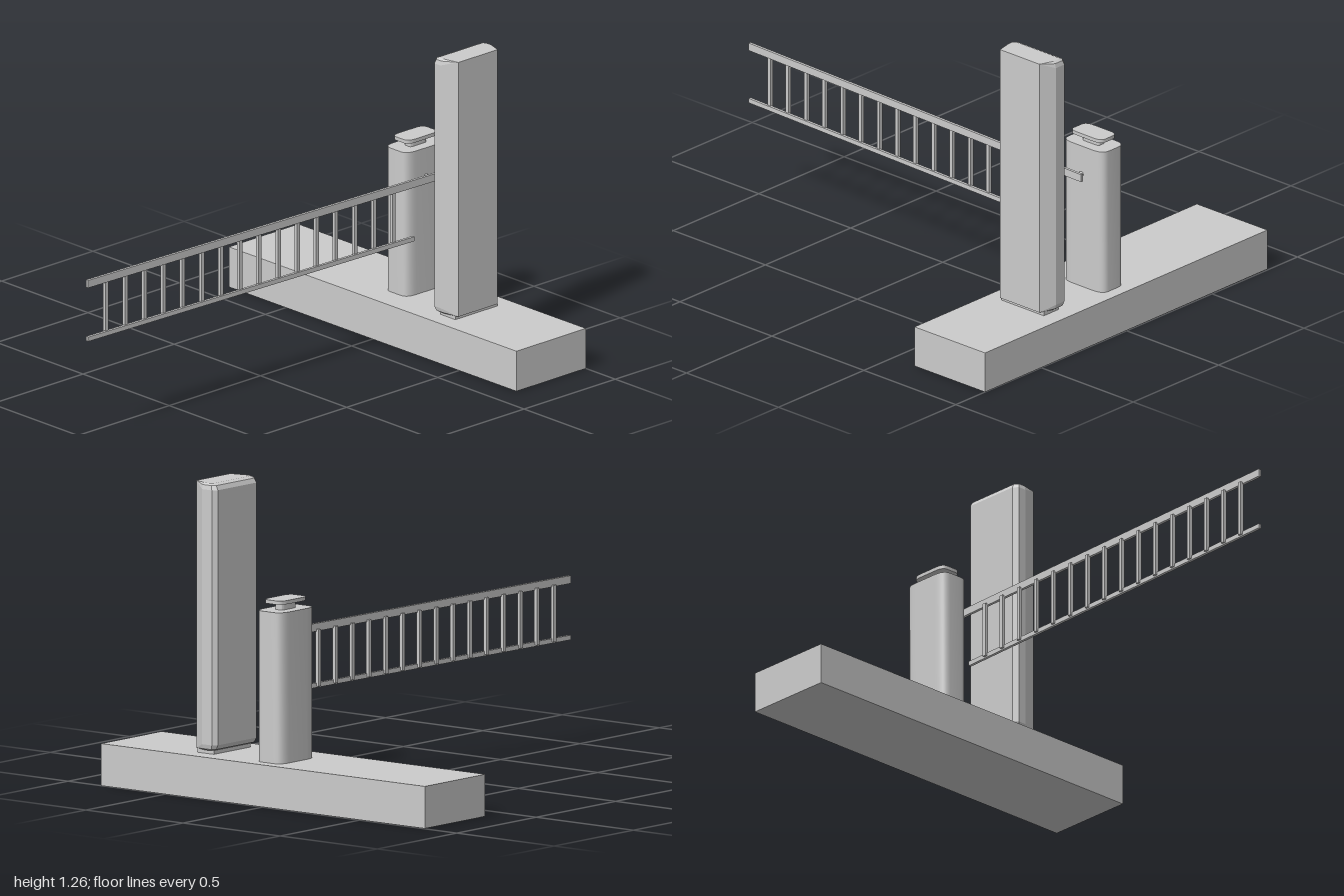
import * as THREE from 'three';
import { toCreasedNormals } from 'three/addons/utils/BufferGeometryUtils.js';
import { ConvexGeometry } from 'three/addons/geometries/ConvexGeometry.js';

const material = new THREE.MeshStandardMaterial({ color: 0xcccccc });

function add(parent, name, geometry, x = 0, y = 0, z = 0) {
  const mesh = new THREE.Mesh(geometry, material);
  mesh.name = name;
  mesh.position.set(x, y, z);
  parent.add(mesh);
  return mesh;
}

// Upright prism with a rounded plan; a, b are half sizes, fa, fb the half lengths of the flats
function ovalPrism(a, b, fa, fb, height) {
  const s = new THREE.Shape();
  s.moveTo(a, -fb);
  s.lineTo(a, fb);
  s.quadraticCurveTo(a, b, fa, b);
  s.lineTo(-fa, b);
  s.quadraticCurveTo(-a, b, -a, fb);
  s.lineTo(-a, -fb);
  s.quadraticCurveTo(-a, -b, -fa, -b);
  s.lineTo(fa, -b);
  s.quadraticCurveTo(a, -b, a, -fb);
  const g = new THREE.ExtrudeGeometry(s, { depth: height, bevelEnabled: false, curveSegments: 8 });
  g.rotateX(-Math.PI / 2);
  return toCreasedNormals(g, 0.5);
}

// Tall cabinet: six-sided plan, with the -x side softened at top and bottom
function cabinetGeometry() {
  const full = [[0.413, -0.91], [0.413, -0.695], [0.34, -0.665], [0.305, -0.665],
    [0.288, -0.685], [0.288, -0.928], [0.305, -0.945], [0.355, -0.945]];
  const end = [[0.413, -0.91], [0.413, -0.695], [0.345, -0.68], [0.325, -0.68],
    [0.315, -0.69], [0.315, -0.922], [0.325, -0.93], [0.355, -0.93]];
  const mid = full.map((p, i) => [p[0] * 0.65 + end[i][0] * 0.35, p[1] * 0.7 + end[i][1] * 0.3]);
  const points = [];
  const sections = [[0.185, end], [0.192, mid], [0.21, full], [1.24, full], [1.258, mid], [1.265, end]];
  for (const [y, plan] of sections) {
    for (const [x, z] of plan) points.push(new THREE.Vector3(x, y, z));
  }
  return new ConvexGeometry(points);
}

export function createModel() {
  const model = new THREE.Group();
  model.name = 'barrierGate';

  // Plinth
  const plinth = add(model, 'plinth', new THREE.BoxGeometry(1.66, 0.17, 0.382), 0, 0.085, -0.806);
  plinth.rotation.y = 0.004;

  // Short post with its neck and cap
  const post = new THREE.Group();
  post.name = 'post';
  post.position.set(0.016, 0, -0.835);
  model.add(post);
  add(post, 'postBody', ovalPrism(0.066, 0.11, 0.03, 0.055, 0.61), 0, 0.17, 0);
  add(post, 'postNeck', ovalPrism(0.02, 0.045, 0.01, 0.025, 0.03), 0, 0.78, 0);
  add(post, 'postCap', ovalPrism(0.048, 0.085, 0.022, 0.045, 0.015), 0, 0.808, 0);

  // Tall cabinet on a small foot
  add(model, 'cabinet', cabinetGeometry());
  add(model, 'cabinetFoot', new THREE.BoxGeometry(0.085, 0.02, 0.23), 0.357, 0.178, -0.806);

  // Barrier arm, swung slightly towards the post at its far end
  const arm = new THREE.Group();
  arm.name = 'barrierArm';
  arm.position.set(0.053, 0, 1);
  arm.rotation.y = -0.0306;
  model.add(arm);
  add(arm, 'topRail', new THREE.BoxGeometry(0.012, 0.032, 1.86), 0, 0.658, -0.93);
  add(arm, 'bottomRail', new THREE.BoxGeometry(0.012, 0.019, 1.74), 0, 0.424, -0.87);
  for (let i = 0; i < 16; i++) {
    add(arm, 'armBar', new THREE.BoxGeometry(0.015, 0.23, 0.016), -0.008, 0.535, -0.107 - i * 0.102);
  }

  // Pivot joining the arm to the post
  const pivot = add(model, 'armPivot', new THREE.CylinderGeometry(0.011, 0.011, 0.04, 16), 0.09, 0.658, -0.83);
  pivot.rotation.z = Math.PI / 2;

  return model;
}
